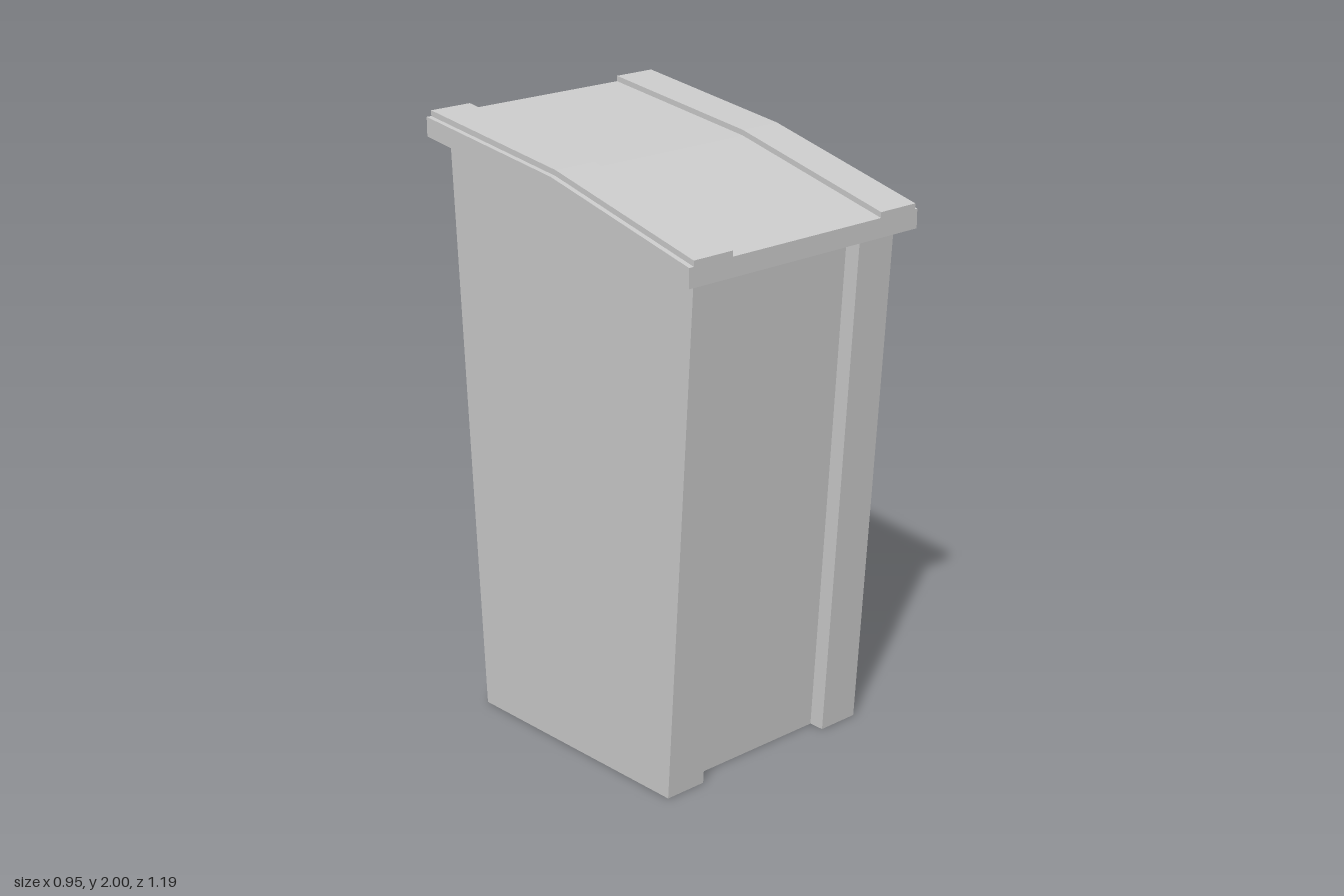
import * as THREE from 'three';

const material = new THREE.MeshStandardMaterial({ color: 0xcccccc, flatShading: true, side: THREE.DoubleSide });

// Height of the lid underside at depth z: two slopes meeting at z = 0
const underside = (z) => 1.84 - (z > 0 ? 0.25 : 0.134) * z;

// Slab following the bent lid, from x0 to x1, between two offsets above the underside
function lidSlab(name, x0, x1, low, high) {
  const zs = [0.597, 0, -0.597];
  const shape = new THREE.Shape([
    ...zs.map((z) => new THREE.Vector2(z, underside(z) + high)),
    ...zs.reverse().map((z) => new THREE.Vector2(z, underside(z) + low)),
  ]);
  const geometry = new THREE.ExtrudeGeometry(shape, { depth: x1 - x0, bevelEnabled: false });
  geometry.rotateY(-Math.PI / 2).translate(x1, 0, 0);
  const mesh = new THREE.Mesh(geometry, material);
  mesh.name = name;
  return mesh;
}

// Open-bottomed tapered shell with a recessed front panel
function binBody() {
  // outline points: x, z at the base, z at the rim
  const outline = [
    [-0.417, 0.448, 0.555], [-0.268, 0.448, 0.555], [-0.268, 0.395, 0.502],
    [0.268, 0.395, 0.502], [0.268, 0.448, 0.555], [0.417, 0.448, 0.555],
    [0.417, 0, 0], [0.417, -0.448, -0.555],
    [-0.417, -0.448, -0.555], [-0.417, 0, 0],
  ];
  const positions = [];
  outline.forEach(([ax, az, aTop], i) => {
    const [bx, bz, bTop] = outline[(i + 1) % outline.length];
    const a = [ax, 0, az], b = [bx, 0, bz];
    const c = [bx, underside(bTop), bTop], d = [ax, underside(aTop), aTop];
    positions.push(...a, ...b, ...c, ...a, ...c, ...d);
  });
  const geometry = new THREE.BufferGeometry();
  geometry.setAttribute('position', new THREE.Float32BufferAttribute(positions, 3));
  geometry.computeVertexNormals();
  const mesh = new THREE.Mesh(geometry, material);
  mesh.name = 'body';
  return mesh;
}

export function createModel() {
  const model = new THREE.Group();
  model.name = 'bin';
  model.add(binBody());

  // Lid plate with a raised band along each side
  const lid = new THREE.Group();
  lid.name = 'lid';
  lid.add(
    lidSlab('lidPlate', -0.474, 0.474, 0, 0.062),
    lidSlab('rightBand', -0.456, -0.304, 0.062, 0.08),
    lidSlab('leftBand', 0.312, 0.464, 0.062, 0.08),
  );
  model.add(lid);
  return model;
}
